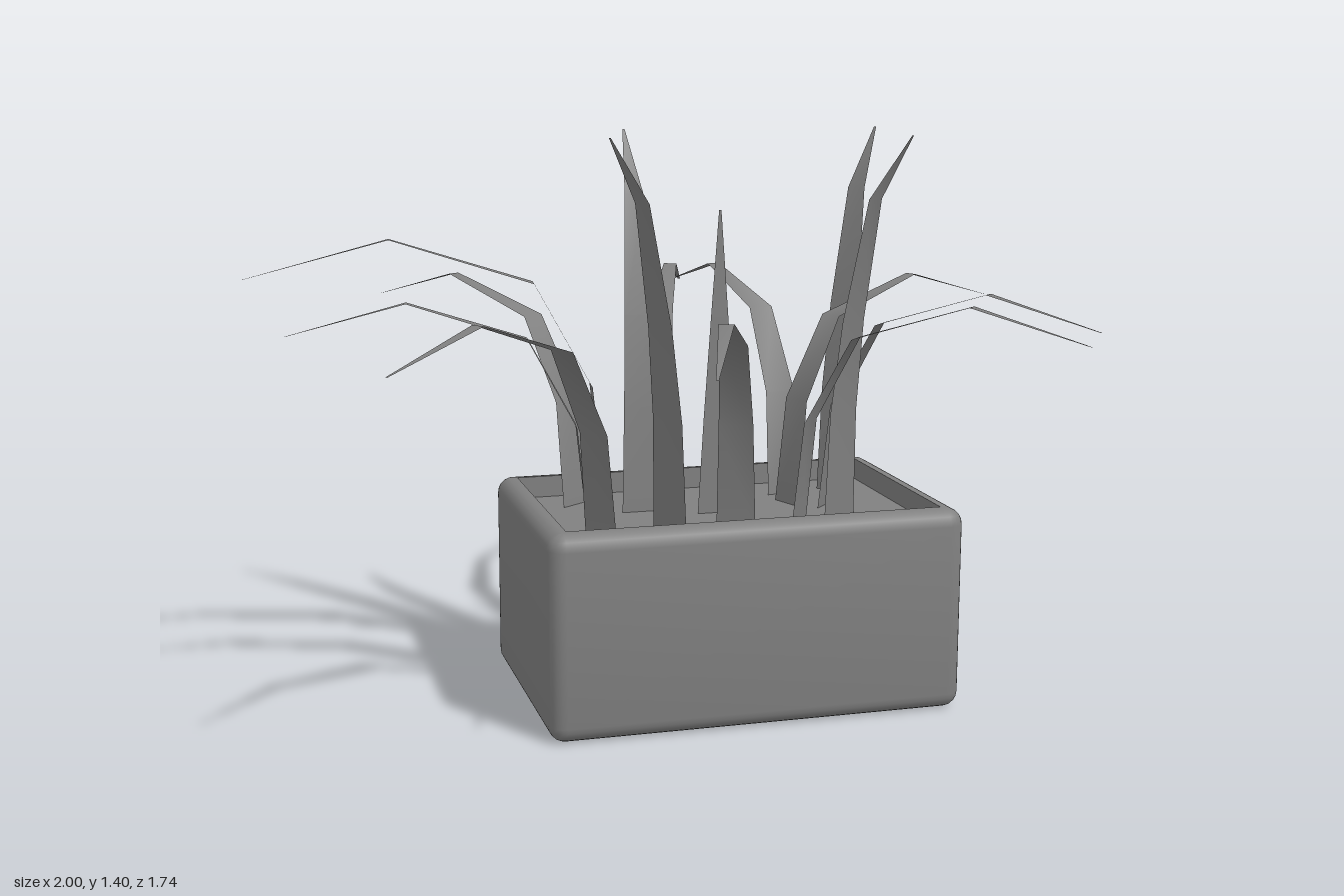
import * as THREE from 'three';
import { toCreasedNormals } from 'three/addons/utils/BufferGeometryUtils.js';

const SOIL = 0.45;
const potMaterial = new THREE.MeshStandardMaterial({ color: 0x808080 });
const leafMaterial = new THREE.MeshStandardMaterial({ color: 0x808080, side: THREE.DoubleSide });

// Rounded-rectangle rings stacked along a profile of [inset, y] pairs.
function potGeometry(halfX, halfZ, height, radius, rim) {
  const steps = 5;
  const profile = [[halfZ, 0]];
  for (const [startAngle, y] of [[-Math.PI / 2, radius], [0, height - radius]]) {
    for (let i = 0; i <= steps; i++) {
      const a = startAngle + (i / steps) * Math.PI / 2;
      profile.push([radius * (1 - Math.cos(a)), y + radius * Math.sin(a)]);
    }
  }
  profile.push([rim, height], [rim, SOIL], [halfZ, SOIL]);

  const positions = [], index = [], ring = 4 * (steps + 1);
  for (const [inset, y] of profile) {
    const edge = Math.max(inset, radius), r = Math.max(radius - inset, 0);
    for (let c = 0; c < 4; c++) {
      const sx = c === 0 || c === 3 ? 1 : -1, sz = c < 2 ? 1 : -1;
      for (let i = 0; i <= steps; i++) {
        const a = (c + i / steps) * Math.PI / 2;
        positions.push(sx * (halfX - edge) + r * Math.cos(a), y, sz * (halfZ - edge) + r * Math.sin(a));
      }
    }
  }
  for (let j = 0; j < profile.length - 1; j++) {
    for (let i = 0; i < ring; i++) {
      const a = j * ring + i, b = j * ring + (i + 1) % ring;
      index.push(a, a + ring, b, b, a + ring, b + ring);
    }
  }
  const g = new THREE.BufferGeometry();
  g.setAttribute('position', new THREE.Float32BufferAttribute(positions, 3));
  g.setIndex(index);
  return toCreasedNormals(g, 0.7);
}

// Leaf sections: [fraction of reach, height above soil, width]
const drooping = [[0, 0, 0.095], [0.04, 0.27, 0.083], [0.2, 0.48, 0.066], [0.6, 0.57, 0.035], [1, 0.495, 0.006]];
const upright = [[0, 0, 0.112], [0.04, 0.27, 0.098], [0.17, 0.5, 0.08], [0.47, 0.8, 0.048], [1, 0.955, 0.006]];
const straight = [[0, 0, 0.11], [0, 0.25, 0.08], [0, 0.5, 0.045], [0, 0.765, 0.006]];

// A smooth tapering ribbon leaning from its base towards its tip.
function leafGeometry(sections, [x0, z0, x1, z1], scale = 1) {
  const dx = x1 - x0, dz = z1 - z0, reach = Math.hypot(dx, dz);
  const sideX = dz / reach, sideZ = -dx / reach;
  const positions = [], index = [];
  for (const [t, h, w] of sections) {
    for (const s of [-0.5, 0.5]) {
      positions.push(x0 + dx * t + sideX * s * w, SOIL + h * scale, z0 + dz * t + sideZ * s * w);
    }
  }
  for (let a = 0; a < 2 * (sections.length - 1); a += 2) {
    index.push(a, a + 1, a + 2, a + 1, a + 3, a + 2);
  }
  const g = new THREE.BufferGeometry();
  g.setAttribute('position', new THREE.Float32BufferAttribute(positions, 3));
  g.setIndex(index);
  g.computeVertexNormals();
  return g;
}

export function createModel() {
  const model = new THREE.Group();
  model.name = 'plantedBox';

  // Planter box with recessed soil
  const pot = new THREE.Mesh(potGeometry(0.518, 0.345, 0.505, 0.04, 0.05), potMaterial);
  pot.name = 'planterBox';
  pot.position.set(0.156, 0, 0.008);
  model.add(pot);

  const leaves = new THREE.Group();
  leaves.name = 'leaves';
  model.add(leaves);
  const addLeaf = (name, sections, line, scale) => {
    const leaf = new THREE.Mesh(leafGeometry(sections, line, scale), leafMaterial);
    leaf.name = name;
    leaves.add(leaf);
  };

  // Arching leaves: base x, z then tip x, z
  const arching = [
    [-0.18, -0.18, -0.6, -0.75], [-0.22, 0.14, -0.92, 0.03], [-0.21, 0.23, -0.76, 0.66],
    [0.04, -0.21, 0.29, -0.87], [0.38, -0.16, 0.26, -0.86], [0.35, -0.05, 1, -0.29],
    [0.44, -0.01, 0.95, 0.47], [0.29, 0.21, 0.82, 0.67], [0.13, 0.21, -0.12, 0.87],
  ];
  for (const line of arching) addLeaf('archingLeaf', drooping, line);
  addLeaf('longArchingLeaf', drooping, [-0.13, -0.06, -1, -0.17], 1.23);

  // Tall leaves that bend only near the tip
  const tall = [
    [-0.02, 0.15, -0.19, 0.25], [-0.03, -0.06, -0.03, -0.26],
    [0.52, -0.15, 0.66, -0.27], [0.43, 0.12, 0.53, 0.3],
  ];
  for (const line of tall) addLeaf('tallLeaf', upright, line);

  // Upright centre leaf
  addLeaf('centreLeaf', straight, [0.15, 0, 0.15, 0.1]);
  return model;
}
